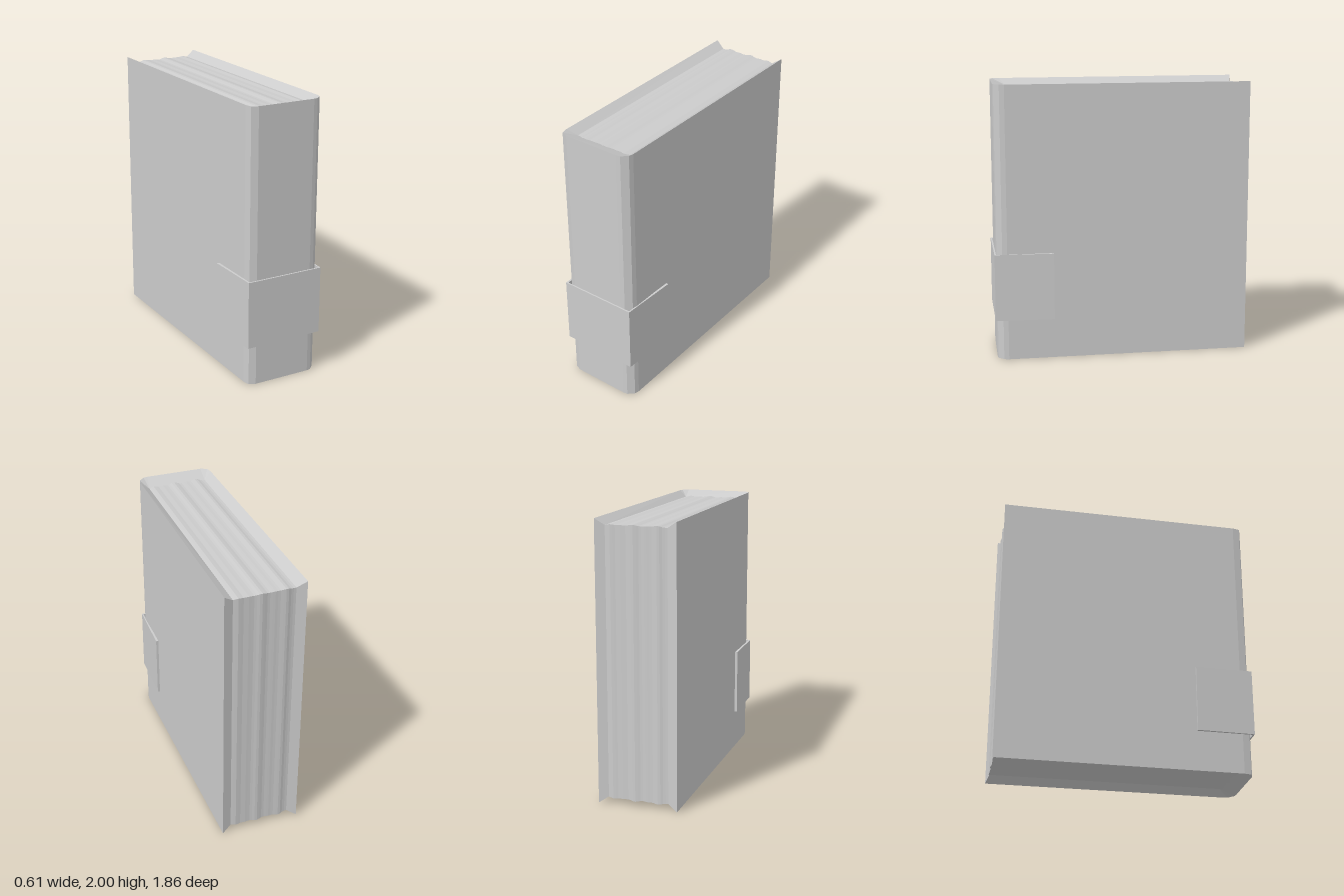
import * as THREE from 'three';

const HEIGHT = 2, DEPTH = 0.045, PAGE_X = 0.22, PAGE_BACK = -0.908, PAGE_FRONT = 0.8;

// cover outline seen from above [x, z], running left-hand board, spine, right-hand board
const OUTLINE = [
  [-0.29, -0.93], [-0.283, 0.84], [-0.272, 0.892], [-0.225, 0.911],
  [0.2, 0.918], [0.23, 0.913], [0.272, 0.875], [0.28, 0.84], [0.287, -0.93],
];

// skin between rows of points; front faces counter-clockwise
function loft(rows) {
  const pos = [];
  for (let i = 0; i + 1 < rows.length; i++) {
    for (let j = 0; j + 1 < rows[i].length; j++) {
      const a = rows[i][j], b = rows[i][j + 1], c = rows[i + 1][j + 1], d = rows[i + 1][j];
      pos.push(...a, ...b, ...c, ...a, ...c, ...d);
    }
  }
  const geo = new THREE.BufferGeometry();
  geo.setAttribute('position', new THREE.Float32BufferAttribute(pos, 3));
  geo.computeVertexNormals();
  return geo;
}

// gentle ripple of the page edges across the thickness
function ripple(x) {
  const fade = Math.cos((x / PAGE_X) * Math.PI / 2);
  const w = 0.5 + 0.3 * Math.sin(x * 38 + 0.6) + 0.2 * Math.sin(x * 71);
  return 0.011 * w * Math.min(1, fade * 3);
}

export function createModel() {
  const group = new THREE.Group();
  const material = new THREE.MeshStandardMaterial({
    color: 0xcccccc, flatShading: true, side: THREE.DoubleSide,
  });
  const add = (name, geo) => {
    const mesh = new THREE.Mesh(geo, material);
    mesh.name = name;
    group.add(mesh);
  };
  // the lower end repeats the upper end, upside down
  const addEnds = (name, rows) => {
    add('top' + name, loft(rows));
    add('bottom' + name, loft(rows.map(r => r.map(([x, y, z]) => [x, HEIGHT - y, z])).reverse()));
  };

  // boards and spine
  add('cover', loft([0, HEIGHT].map(y => OUTLINE.map(([x, z]) => [x, y, z]))));

  // bevel from the cover's edge down to the pages
  const inner = OUTLINE.map(([x, z]) => [
    THREE.MathUtils.clamp(x, -PAGE_X, PAGE_X), HEIGHT - DEPTH,
    THREE.MathUtils.clamp(z, PAGE_BACK, PAGE_FRONT),
  ]);
  addEnds('Rim', [OUTLINE.map(([x, z]) => [x, HEIGHT, z]), inner]);

  // rippled page edges at the upper and lower end, running slightly under the spine bevel
  const xs = Array.from({ length: 25 }, (_, i) => -PAGE_X + (i / 24) * 2 * PAGE_X);
  const pageY = x => HEIGHT - DEPTH + ripple(x);
  const pageZ = x => PAGE_BACK - ripple(x);
  addEnds('Pages', [
    xs.map(x => [x, pageY(x), PAGE_FRONT + 0.02]),
    xs.map(x => [x, pageY(x), pageZ(x)]),
  ]);

  // rippled fore edge with its sloping sides
  const foreRow = top => {
    const at = y => (top ? y : HEIGHT - y);
    return [
      [0.287, at(HEIGHT), -0.93],
      ...[...xs].reverse().map(x => [x, at(pageY(x)), pageZ(x)]),
      [-0.29, at(HEIGHT), -0.93],
    ];
  };
  add('foreEdge', loft([foreRow(false), foreRow(true)]));

  // label band wrapped around the spine
  const band = new THREE.Shape([
    [-0.307, 0.505], [-0.297, 0.925], [0.283, 0.931], [0.302, 0.505],
    [0.284, 0.505], [0.274, 0.92], [-0.284, 0.914], [-0.288, 0.505],
  ].map(([x, z]) => new THREE.Vector2(x, -z)));
  const bandGeo = new THREE.ExtrudeGeometry(band, { depth: 0.49, bevelEnabled: false });
  bandGeo.rotateX(-Math.PI / 2).translate(0, 0.295, 0);
  add('spineLabel', bandGeo);

  return group;
}
